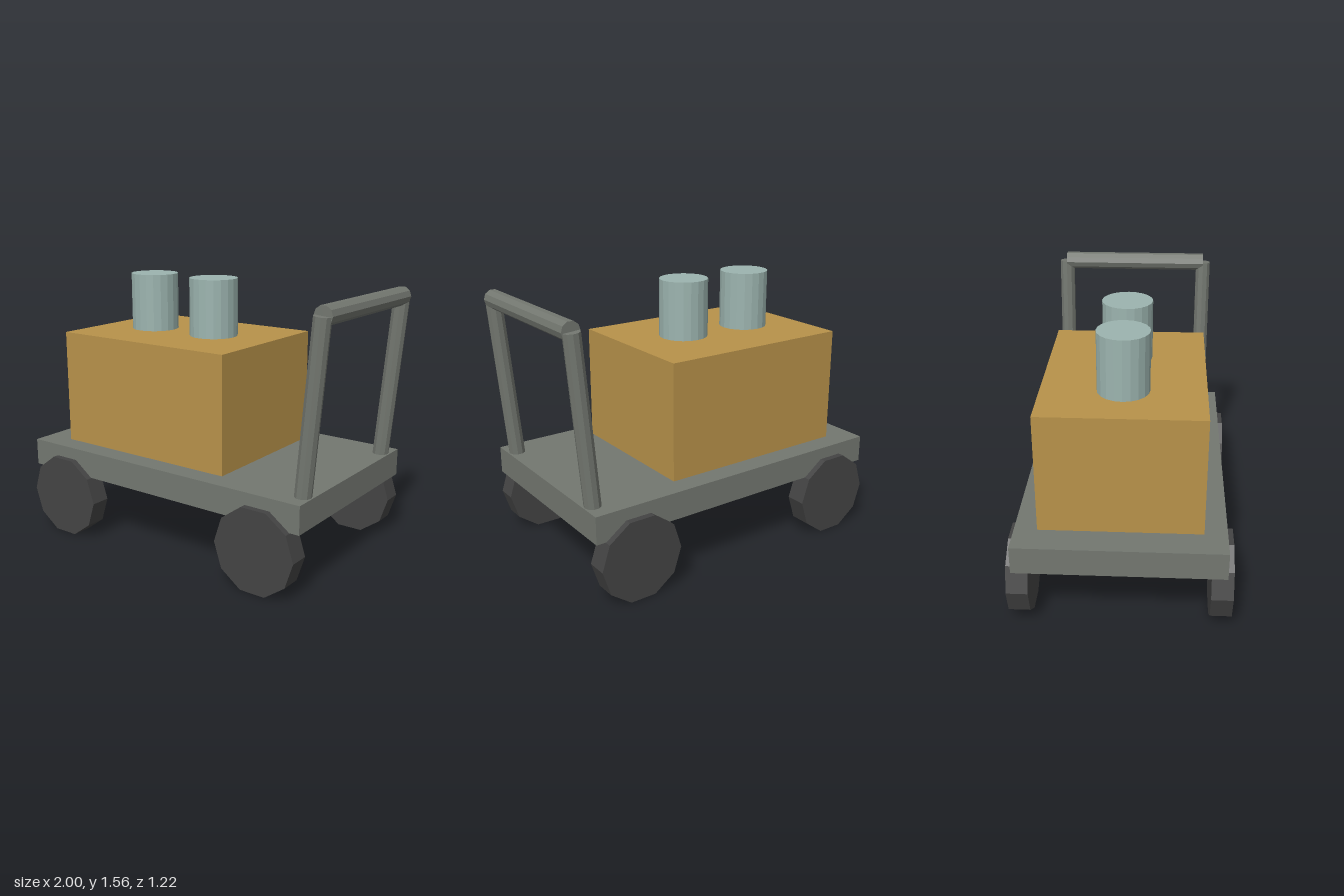
import * as THREE from 'three';

const flat = (color, name) => {
  const m = new THREE.MeshStandardMaterial({ color, flatShading: true });
  m.name = name;
  return m;
};

export function createModel() {
  const cart = new THREE.Group();
  cart.name = 'pushCart';
  const steel = flat(0x737770, 'steel grey');
  const crateTan = flat(0xb8924a, 'crate tan');
  const rubber = flat(0x444444, 'rubber');
  const canister = flat(0x9cb4af, 'pale canister');

  const add = (name, geometry, material, x, y, z) => {
    const mesh = new THREE.Mesh(geometry, material);
    mesh.name = name;
    mesh.position.set(x, y, z);
    cart.add(mesh);
    return mesh;
  };
  // Ten-sided rod with corners on its left and right
  const rod = (r, length) =>
    new THREE.CylinderGeometry(r, r, length, 10, 1, false, Math.PI / 2);

  // Deck and cargo
  add('deck', new THREE.BoxGeometry(1.915, 0.16, 1.146), steel, -0.0425, 0.465, 0);
  add('crate', new THREE.BoxGeometry(1.17, 0.68, 0.894), crateTan, -0.242, 0.885, 0);
  for (const x of [-0.493, -0.043]) {
    add('canister', new THREE.CylinderGeometry(0.143, 0.143, 0.34, 20), canister, x, 1.395, 0);
  }

  // Wheels
  const wheel = rod(0.249, 0.12).rotateX(Math.PI / 2);
  for (const x of [-0.739, 0.657]) {
    for (const side of [1, -1]) add('wheel', wheel, rubber, x, 0.237, side * 0.55);
  }

  // Leaning handle posts and the crossbar
  const foot = new THREE.Vector2(0.86, 0.535);
  const top = new THREE.Vector2(0.942, 1.488);
  const post = rod(0.0475, foot.distanceTo(top));
  const lean = -Math.atan2(top.x - foot.x, top.y - foot.y);
  for (const side of [1, -1]) {
    const p = add('handlePost', post, steel,
      (foot.x + top.x) / 2, (foot.y + top.y) / 2, side * 0.45);
    p.rotation.z = lean;
  }
  add('handleBar', rod(0.0535, 0.9).rotateX(Math.PI / 2), steel, 0.944, 1.489, 0);

  return cart;
}
